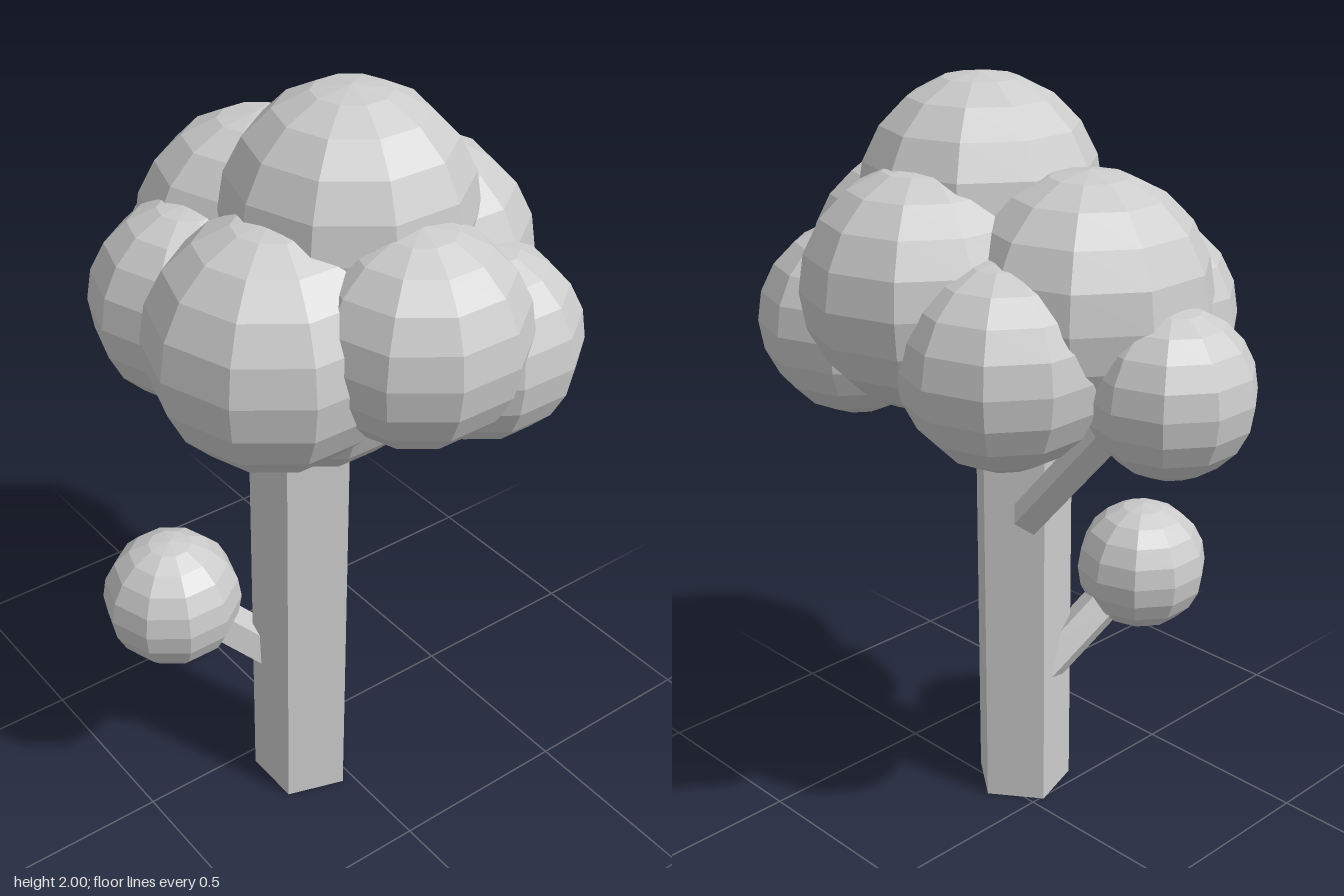
import * as THREE from 'three';

export function createModel() {
  const tree = new THREE.Group();
  tree.name = 'tree';
  const material = new THREE.MeshStandardMaterial({ color: 0xcccccc, flatShading: true });

  function add(name, geometry, parent = tree) {
    const mesh = new THREE.Mesh(geometry, material);
    mesh.name = name;
    parent.add(mesh);
    return mesh;
  }

  // Five-sided trunk with one corner towards +x
  add('trunk', new THREE.CylinderGeometry(0.135, 0.135, 1.3, 5, 1, false, Math.PI / 2))
    .position.set(-0.075, 0.65, 0.12);

  // Straight five-sided branch between two points
  function branch(name, from, to, radius) {
    const a = new THREE.Vector3(...from);
    const b = new THREE.Vector3(...to);
    const dir = b.clone().sub(a);
    const mesh = add(name, new THREE.CylinderGeometry(radius, radius, dir.length(), 5, 1, false, Math.PI / 2));
    mesh.position.copy(a).add(b).multiplyScalar(0.5);
    mesh.quaternion.setFromUnitVectors(new THREE.Vector3(0, 1, 0), dir.normalize());
  }
  branch('lowerBranch', [-0.1, 0.37, 0.06], [-0.34, 0.61, -0.04], 0.058);
  branch('upperBranch', [0.005, 0.87, 0.012], [0.02, 1.33, -0.4], 0.05);

  // Faceted foliage balls: name, centre x, y, z, radius
  const foliage = new THREE.Group();
  foliage.name = 'foliage';
  tree.add(foliage);
  const balls = [
    ['crownTop', 0.037, 1.7, 0.14, 0.3],
    ['crownCore', -0.05, 1.375, 0.13, 0.3],
    ['crownFront', 0.022, 1.508, 0.41, 0.263],
    ['crownFrontRight', -0.205, 1.458, 0.18, 0.305],
    ['crownLeft', 0.25, 1.52, 0.116, 0.295],
    ['crownFrontLeft', 0.257, 1.392, 0.369, 0.243],
    ['crownBackLeft', 0.257, 1.396, -0.165, 0.25],
    ['crownBack', 0.025, 1.513, -0.208, 0.305],
    ['crownBackRight', -0.2, 1.41, -0.16, 0.257],
    ['upperBranchLeaves', 0.022, 1.347, -0.47, 0.203],
    ['lowerBranchLeaves', -0.37, 0.635, -0.052, 0.179],
  ];
  for (const [name, x, y, z, r] of balls) {
    add(name, new THREE.SphereGeometry(r, 10, 10), foliage).position.set(x, y, z);
  }

  return tree;
}
